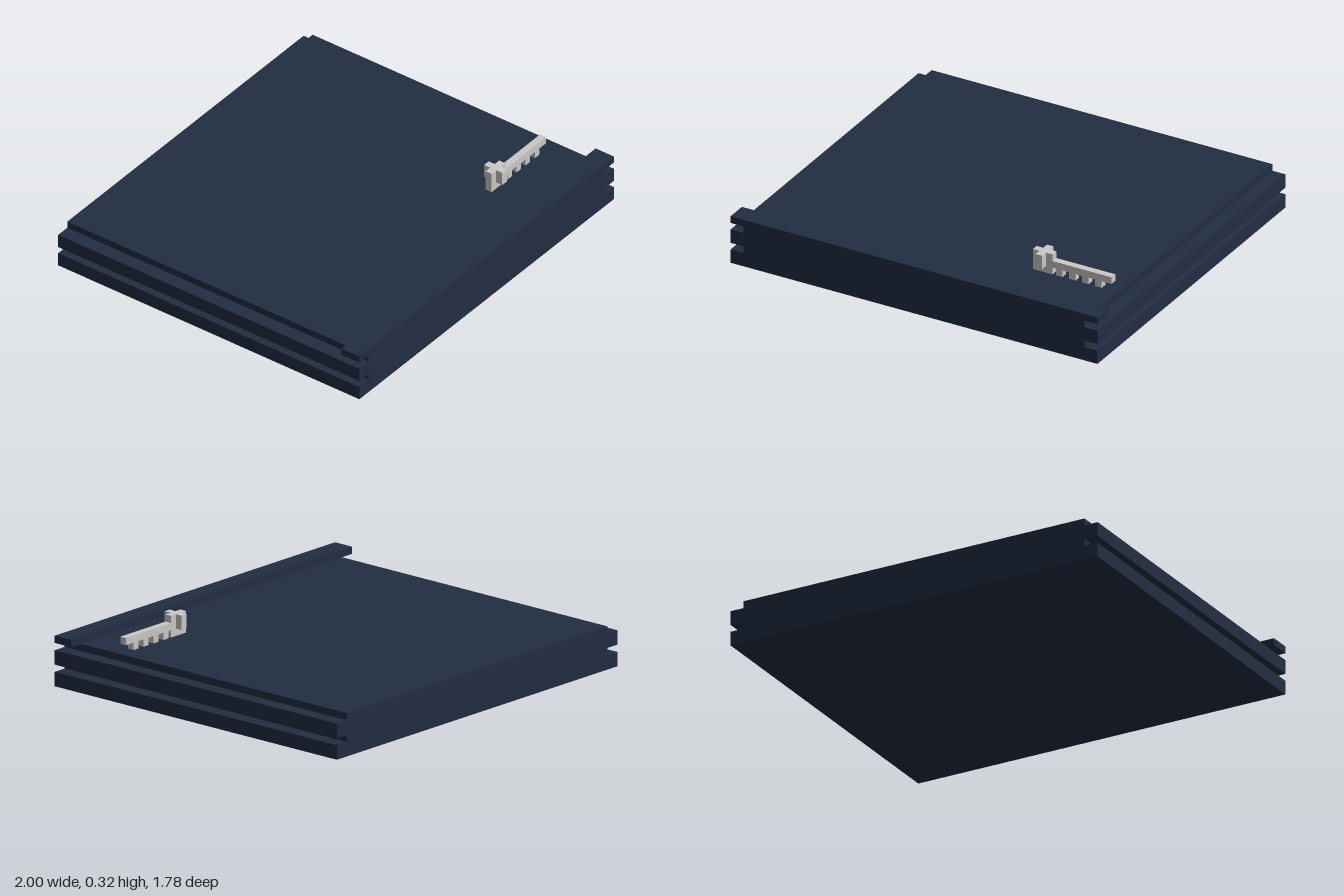
import * as THREE from 'three';

const U = 1 / 28; // grid unit shared by every part

export function createModel() {
  const model = new THREE.Group();
  const navy = new THREE.MeshStandardMaterial({ color: 0x222d42 });
  navy.name = 'navy';
  const silver = new THREE.MeshStandardMaterial({ color: 0xcbc9c8 });
  silver.name = 'silver';

  // Box given by its low and high corners
  function box(parent, name, material, x0, x1, y0, y1, z0, z1) {
    const mesh = new THREE.Mesh(new THREE.BoxGeometry(x1 - x0, y1 - y0, z1 - z0), material);
    mesh.position.set((x0 + x1) / 2, (y0 + y1) / 2, (z0 + z1) / 2);
    mesh.name = name;
    parent.add(mesh);
  }

  // Slab with a grooved, stepped section on both sides
  const half = [[1, 0], [1, 2 * U], [1 - 2 * U, 2 * U], [1 - 2 * U, 3 * U],
    [1, 3 * U], [1, 5 * U], [1 - 2 * U, 5 * U], [1 - 2 * U, 6 * U]];
  const outline = [...half, ...half.map(([x, y]) => [-x, y]).reverse()];
  const depth = 1.78;
  const slab = new THREE.Mesh(
    new THREE.ExtrudeGeometry(
      new THREE.Shape(outline.map(([x, y]) => new THREE.Vector2(x, y))),
      { depth, bevelEnabled: false }),
    navy);
  slab.position.z = -depth / 2;
  slab.name = 'slab';
  model.add(slab);

  // Raised lip along the front edge
  box(model, 'frontLip', navy, -1, 1, 6 * U, 7 * U, depth / 2 - 3 * U, depth / 2);

  // Small toothed key lying on top
  const key = new THREE.Group();
  key.name = 'key';
  model.add(key);
  const z0 = 0.535, z1 = z0 + U, x0 = 13 * U;
  box(key, 'keyHandle', silver, x0, x0 + 3 * U, 6 * U, 9 * U, z0, z1);
  for (const [a, b] of [[z0 - U, z0], [z1, z1 + U]]) {
    box(key, 'handleArm', silver, x0 + U, x0 + 2 * U, 7 * U, 9 * U, a, b);
  }
  box(key, 'keyShaft', silver, x0 + 3 * U, x0 + 12 * U, 7 * U, 8 * U, z0, z1);
  for (let i = 4; i < 12; i += 2) {
    box(key, 'keyTooth', silver, x0 + i * U - U / 2, x0 + i * U + U / 2, 6 * U, 7 * U, z0, z1);
  }
  return model;
}
